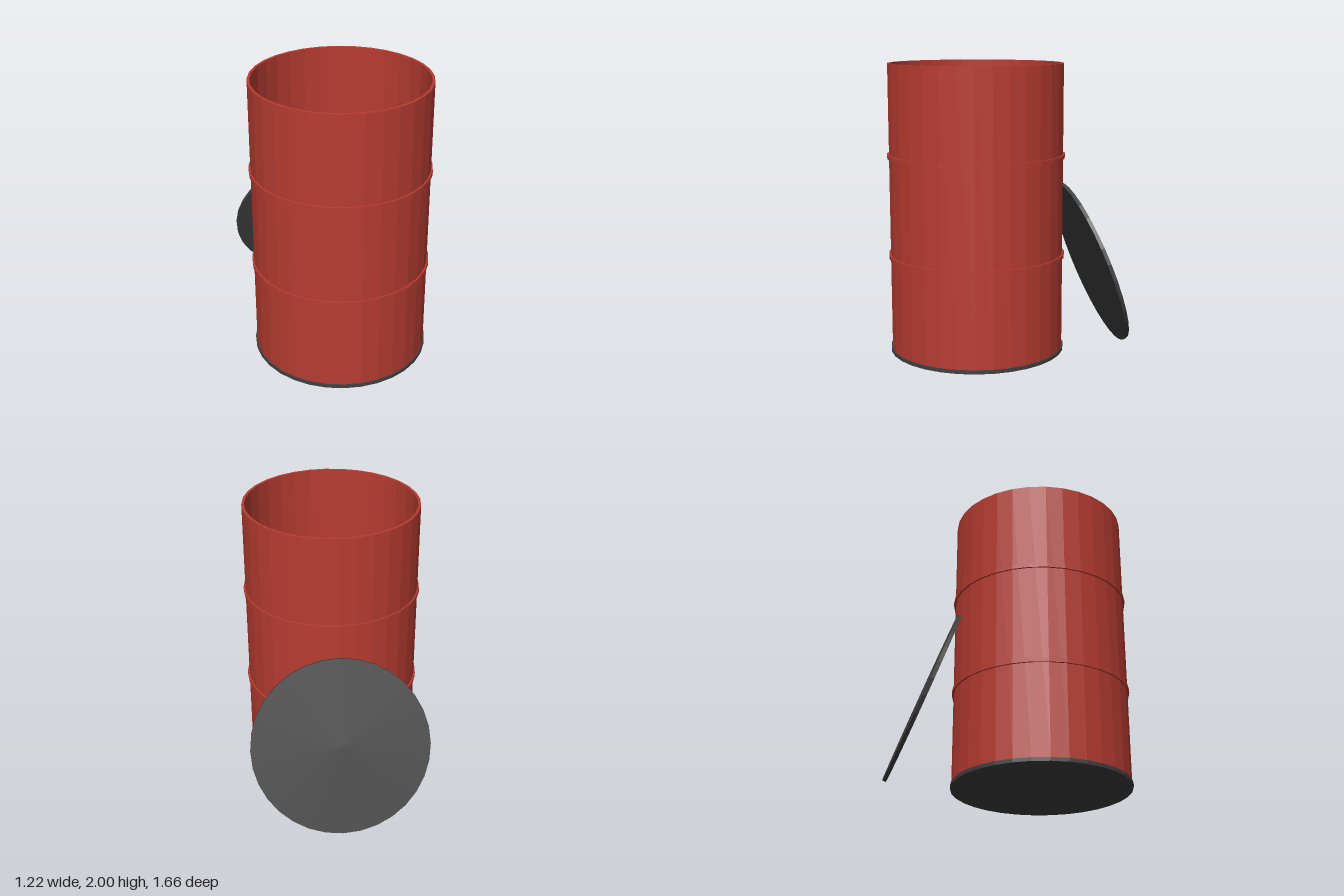
import * as THREE from 'three';

const SIDES = 32;
const red = new THREE.MeshStandardMaterial({ color: 0xb83c32, flatShading: true });
const dark = new THREE.MeshStandardMaterial({ color: 0x404040, flatShading: true });

// Round band with a rectangular section, swept about the y axis
function band(name, inner, outer, y0, y1) {
  const profile = [[inner, y0], [outer, y0], [outer, y1], [inner, y1], [inner, y0]]
    .map(([r, y]) => new THREE.Vector2(r, y));
  const mesh = new THREE.Mesh(new THREE.LatheGeometry(profile, SIDES), red);
  mesh.name = name;
  return mesh;
}

function disc(name, radius, thickness) {
  const mesh = new THREE.Mesh(new THREE.CylinderGeometry(radius, radius, thickness, SIDES), dark);
  mesh.name = name;
  return mesh;
}

export function createModel() {
  const model = new THREE.Group();
  model.name = 'drumWithLid';

  // Open drum: wall, two raised hoops and a base plate
  const drum = new THREE.Group();
  drum.name = 'drum';
  drum.position.z = 0.217;
  drum.add(band('wall', 0.582, 0.6, 0.02, 2));
  drum.add(band('lowerHoop', 0.59, 0.612, 0.664, 0.692));
  drum.add(band('upperHoop', 0.59, 0.612, 1.356, 1.384));
  const base = disc('base', 0.609, 0.025);
  base.position.y = 0.0125;
  drum.add(base);
  model.add(drum);

  // Loose lid leaning against the back of the drum
  const lid = disc('lid', 0.607, 0.025);
  lid.position.set(0, 0.577, -0.61);
  lid.rotation.x = -THREE.MathUtils.degToRad(69.8);
  model.add(lid);

  return model;
}
